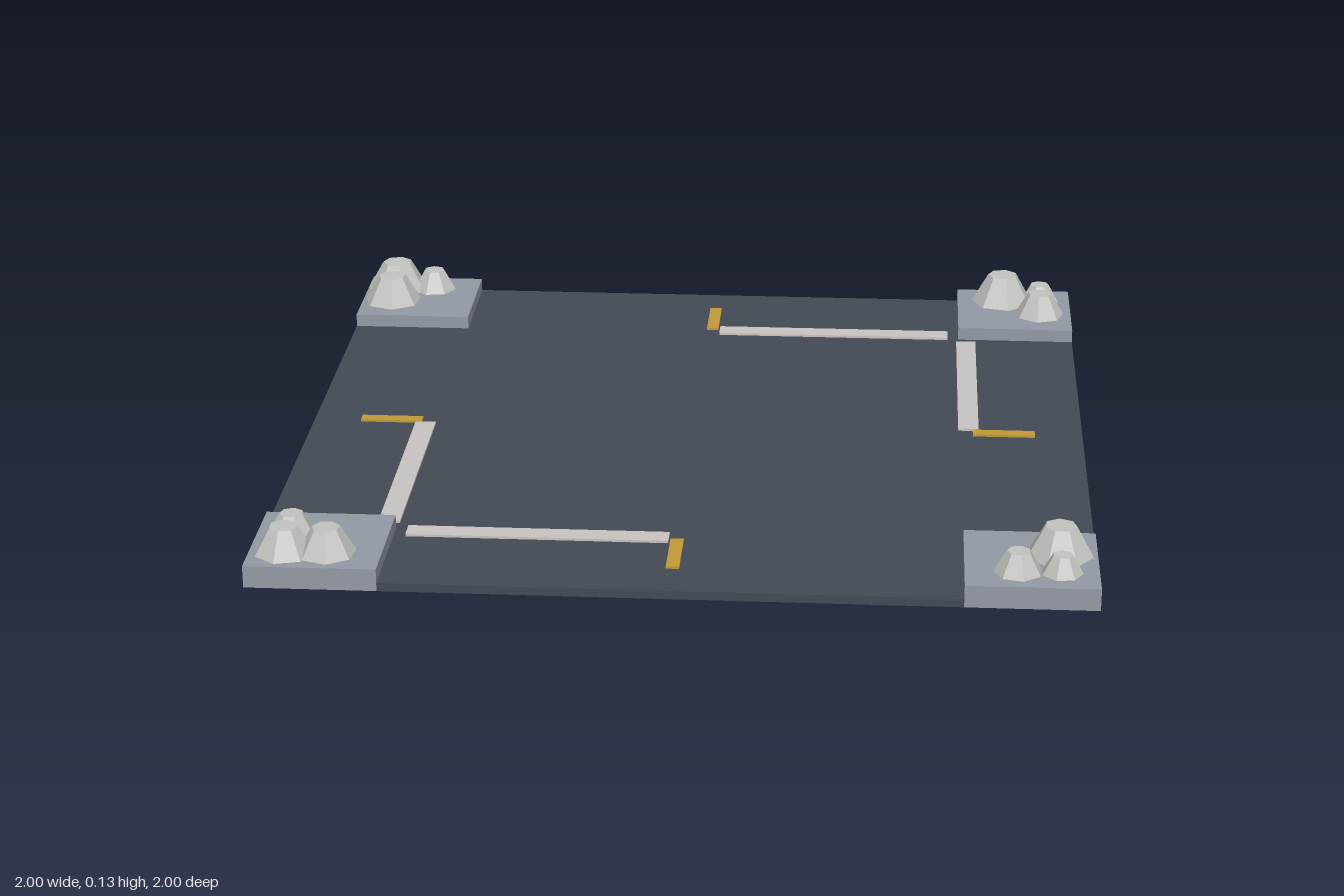
import * as THREE from 'three';

const ROAD_Y = 0.021, CURB_Y = 0.055, INNER = 0.685;

function material(name, color, flatShading = false) {
  const m = new THREE.MeshStandardMaterial({ color, flatShading });
  m.name = name;
  return m;
}

export function createModel() {
  const group = new THREE.Group();
  group.name = 'crossroadTile';

  const asphalt = material('asphalt', 0x444b55);
  const concrete = material('concrete', 0x949aa5);
  const whitePaint = material('whitePaint', 0xc8c5c3);
  const yellowPaint = material('yellowPaint', 0xc29b3a);
  const stone = material('stone', 0xc4c4c0, true);

  function add(name, geometry, mat, x, y, z, parent = group) {
    const mesh = new THREE.Mesh(geometry, mat);
    mesh.name = name;
    mesh.position.set(x, y, z);
    parent.add(mesh);
    return mesh;
  }

  // Cross-shaped road slab, leaving the four corners free
  const a = INNER;
  const cross = new THREE.Shape([
    [-a, -1], [a, -1], [a, -a], [1, -a], [1, a], [a, a],
    [a, 1], [-a, 1], [-a, a], [-1, a], [-1, -a], [-a, -a],
  ].map(([x, y]) => new THREE.Vector2(x, y)));
  const slab = new THREE.ExtrudeGeometry(cross, { depth: ROAD_Y, bevelEnabled: false });
  slab.rotateX(-Math.PI / 2);
  add('road', slab, asphalt, 0, 0, 0);

  // Stop lines: one pair, repeated after a half turn
  const paint = 0.006, paintY = ROAD_Y + paint / 2;
  for (const s of [1, -1]) {
    add('stopLineAcross', new THREE.BoxGeometry(0.635, paint, 0.053), whitePaint, s * 0.338, paintY, s * -0.706);
    add('stopLineAlong', new THREE.BoxGeometry(0.053, paint, 0.635), whitePaint, s * 0.706, paintY, s * -0.338);
    // Yellow centre dashes on each arm
    add('centreDashAcross', new THREE.BoxGeometry(0.16, paint, 0.032), yellowPaint, s * 0.797, paintY, 0);
    add('centreDashAlong', new THREE.BoxGeometry(0.032, paint, 0.16), yellowPaint, 0, paintY, s * 0.797);
  }

  // Raised corner pavements, each with three rocks: [x, z, radius, turn]
  const corners = [
    { name: 'backRight', sx: -1, sz: -1, rocks: [[0.915, 0.915, 0.085, 0.3], [0.915, 0.81, 0.08, 0.1], [0.81, 0.915, 0.061, 0.6]] },
    { name: 'backLeft', sx: 1, sz: -1, rocks: [[0.81, 0.915, 0.085, 0.2], [0.915, 0.917, 0.055, 0.5], [0.912, 0.81, 0.068, 0.8]] },
    { name: 'frontRight', sx: -1, sz: 1, rocks: [[0.915, 0.81, 0.06, 0.4], [0.915, 0.912, 0.073, 0.7], [0.815, 0.91, 0.071, 0.1]] },
    { name: 'frontLeft', sx: 1, sz: 1, rocks: [[0.91, 0.81, 0.081, 0.5], [0.81, 0.913, 0.058, 0.2], [0.912, 0.913, 0.05, 0.6]] },
  ];
  const size = 1 - INNER, mid = (1 + INNER) / 2;
  for (const { name, sx, sz, rocks } of corners) {
    const corner = new THREE.Group();
    corner.name = name + 'Corner';
    group.add(corner);
    add('pavement', new THREE.BoxGeometry(size, CURB_Y, size), concrete, sx * mid, CURB_Y / 2, sz * mid, corner);
    for (const [x, z, r, turn] of rocks) {
      const h = r * 0.92;
      const rock = add('rock', new THREE.CylinderGeometry(r * 0.48, r, h, 7), stone, sx * x, CURB_Y + h / 2, sz * z, corner);
      rock.rotation.y = turn;
    }
  }
  return group;
}
